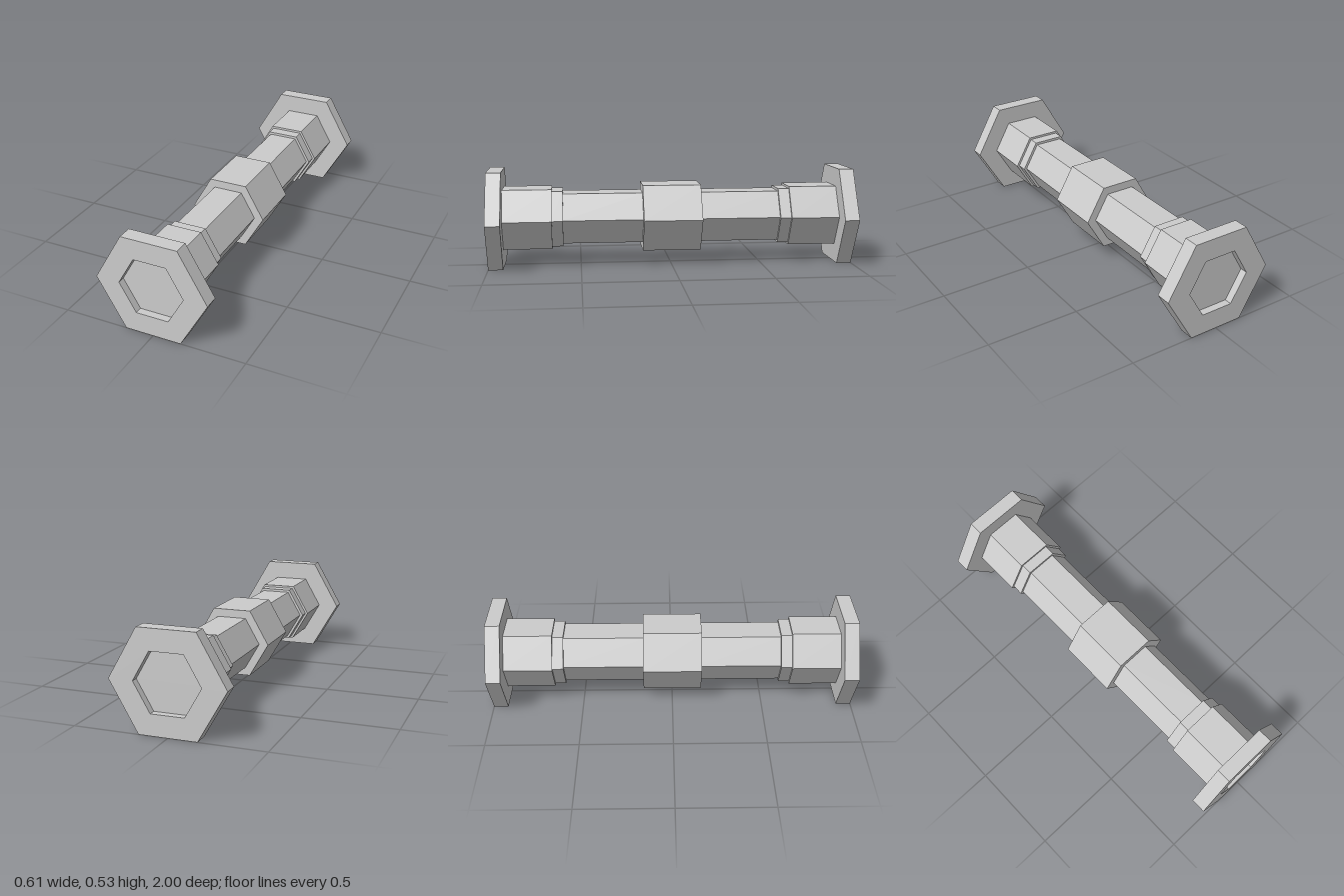
import * as THREE from 'three';

const CENTRE_Y = 0.2635;
const material = new THREE.MeshStandardMaterial({ color: 0xcccccc, flatShading: true });

// Six-sided solid along z, turned from [radius, z] points, with corners on +x and -x
function hexTurned(name, profile) {
  const points = profile.map(([r, z]) => new THREE.Vector2(r, z));
  const geometry = new THREE.LatheGeometry(points, 6, Math.PI / 2).rotateX(Math.PI / 2);
  const mesh = new THREE.Mesh(geometry, material);
  mesh.name = name;
  return mesh;
}

const hexPrism = (name, r, z0, z1) => hexTurned(name, [[0, z0], [r, z0], [r, z1], [0, z1]]);

// Half of the bar: shaft, step ring, collar and a flange with a shallow hexagonal recess
function createEnd(name) {
  const end = new THREE.Group();
  end.name = name;
  end.add(
    hexPrism('shaft', 0.158, 0.15, 0.6),
    hexPrism('stepRing', 0.174, 0.595, 0.66),
    hexPrism('collar', 0.188, 0.655, 0.93),
    hexTurned('flange', [
      [0, 0.92], [0.304, 0.92], [0.304, 1], [0.176, 1], [0.176, 0.96], [0, 0.96],
    ]),
  );
  return end;
}

export function createModel() {
  const model = new THREE.Group();
  model.name = 'hexagonalBar';

  // Both ends are identical, the back one turned around
  const front = createEnd('frontEnd');
  const back = createEnd('backEnd');
  back.rotation.y = Math.PI;

  const bar = new THREE.Group();
  bar.name = 'bar';
  bar.position.y = CENTRE_Y;
  bar.add(front, back, hexPrism('middleBlock', 0.208, -0.16, 0.16));
  model.add(bar);
  return model;
}
